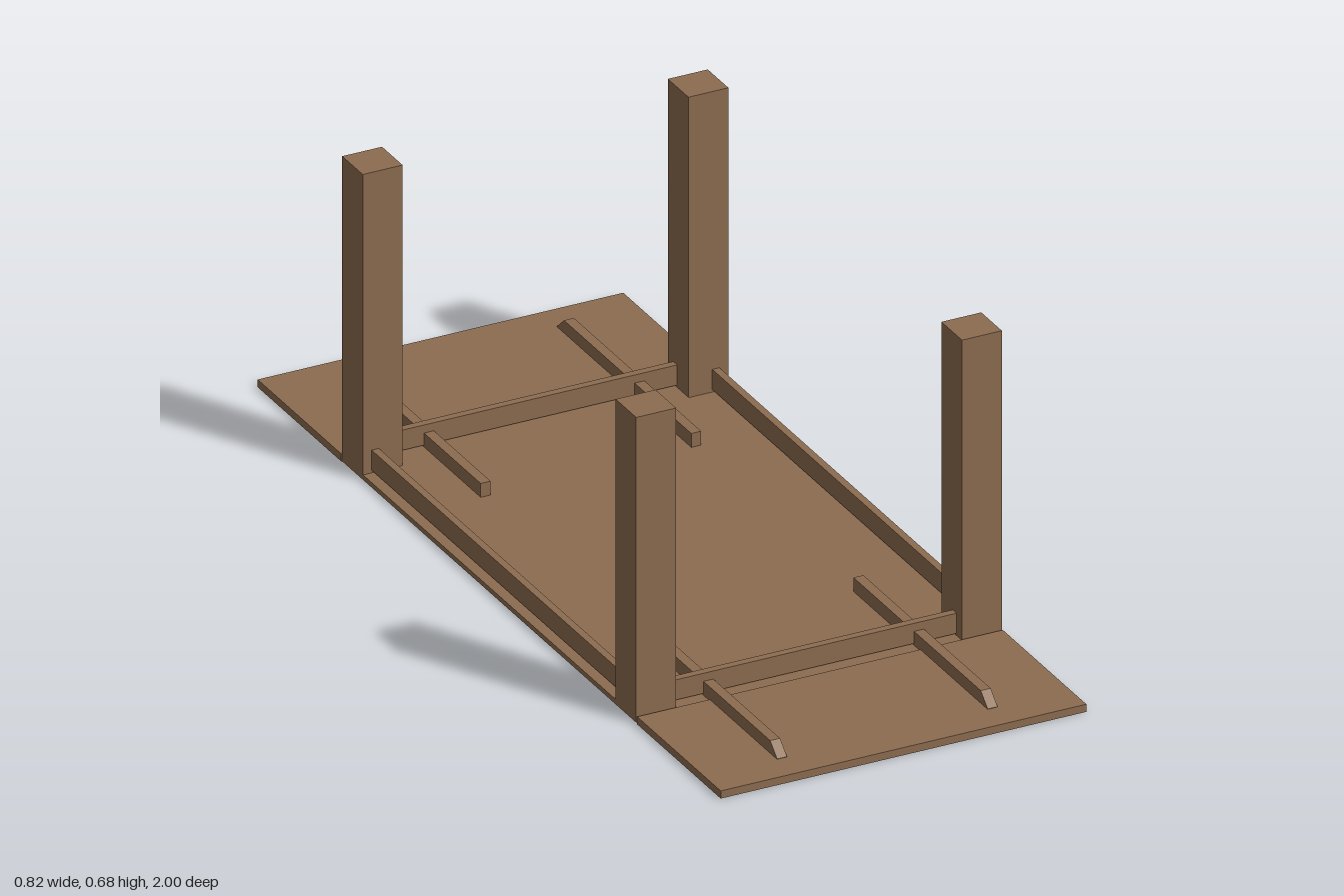
import * as THREE from 'three';

// Extending table resting upside down on its top
export function createModel() {
  const group = new THREE.Group();
  const wood = new THREE.MeshStandardMaterial({ color: 0x8c6c50 });
  wood.name = 'wood';

  const add = (name, geometry) => {
    const mesh = new THREE.Mesh(geometry, wood);
    mesh.name = name;
    group.add(mesh);
    return mesh;
  };
  // Box given by its minimum and maximum on each axis
  const box = (name, [x0, x1], [y0, y1], [z0, z1]) => {
    const mesh = add(name, new THREE.BoxGeometry(x1 - x0, y1 - y0, z1 - z0));
    mesh.position.set((x0 + x1) / 2, (y0 + y1) / 2, (z0 + z1) / 2);
  };
  const span = (sign, a, b) => (sign > 0 ? [a, b] : [-b, -a]);

  // Centre of the table top, notched at the corners around the legs
  box('centrePanel', [-0.408, 0.408], [0.002, 0.013], [-0.545, 0.545]);

  // Runner profile (z, y) with a chamfered outer end
  const profile = new THREE.Shape([
    [0.35, 0.014], [0.93, 0.014], [0.93, 0.018], [0.9, 0.045], [0.35, 0.045],
  ].map(([z, y]) => new THREE.Vector2(z, y)));

  for (const end of [1, -1]) {
    box('panelEnd', [-0.319, 0.319], [0.002, 0.013], span(end, 0.545, 0.635));
    box('extensionLeaf', [-0.408, 0.408], [0, 0.017], span(end, 0.639, 1));
    box('endApron', [-0.32, 0.32], [0.018, 0.063], span(end, 0.595, 0.612));

    for (const side of [1, -1]) {
      box('leg', span(side, 0.319, 0.408), [0.002, 0.683], span(end, 0.546, 0.635));

      // Sliding runners that carry the leaves
      const runner = new THREE.ExtrudeGeometry(profile, { depth: 0.022, bevelEnabled: false });
      runner.translate(0, 0, -0.011);
      const mesh = add('runner', runner);
      mesh.rotation.y = -end * Math.PI / 2;
      mesh.position.x = side * 0.235;
    }
  }

  for (const side of [1, -1]) {
    box('sideApron', span(side, 0.372, 0.388), [0.018, 0.063], [-0.546, 0.546]);
  }
  return group;
}
